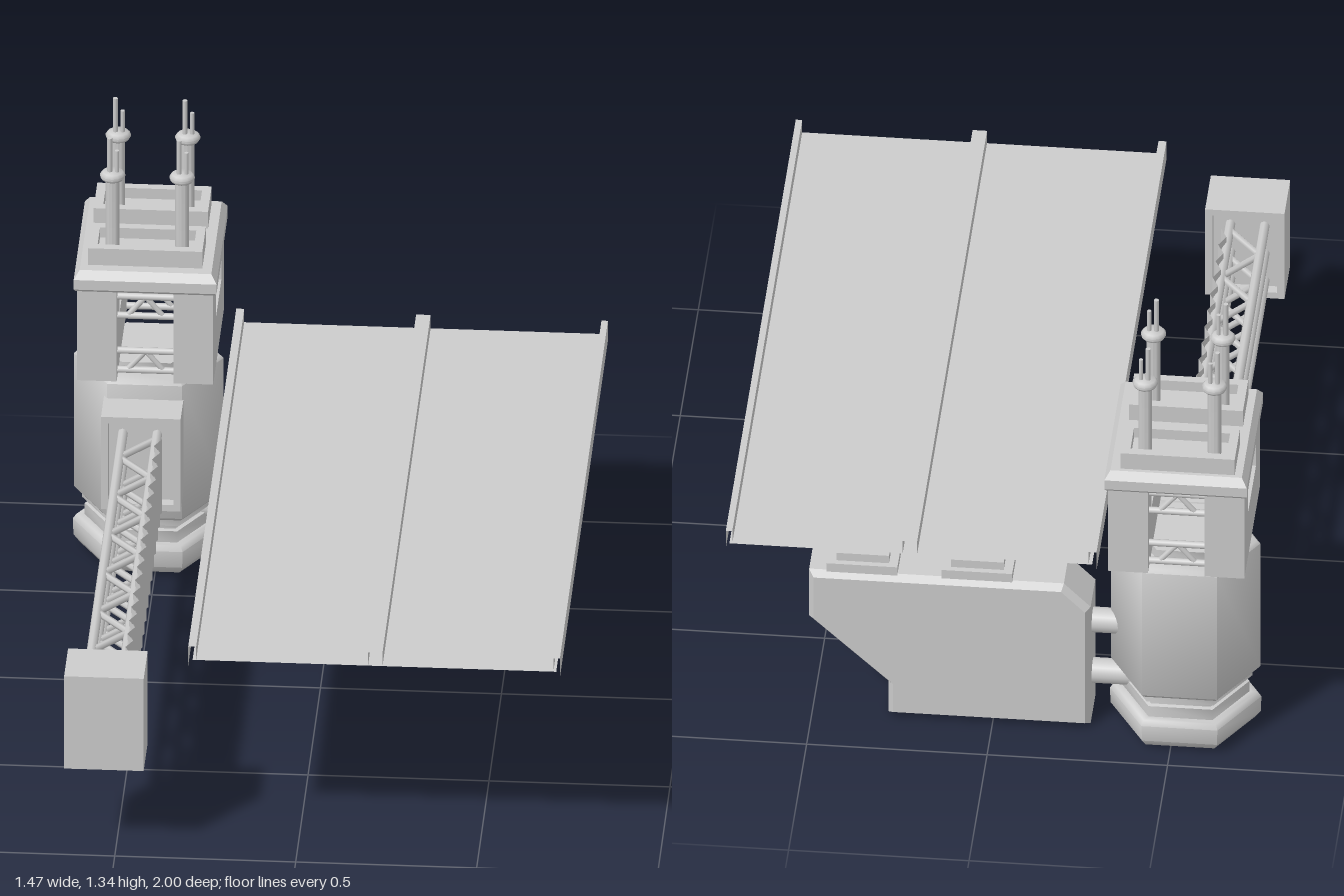
import * as THREE from 'three';
import { toCreasedNormals } from 'three/addons/utils/BufferGeometryUtils.js';

const V = (x, y, z) => new THREE.Vector3(x, y, z);

export function createModel() {
  const model = new THREE.Group();
  const solid = new THREE.MeshStandardMaterial({ color: 0xcccccc });
  const thin = new THREE.MeshStandardMaterial({ color: 0xcccccc, side: THREE.DoubleSide, flatShading: true });

  const group = (name, parent = model) => {
    const g = new THREE.Group();
    g.name = name;
    parent.add(g);
    return g;
  };
  const add = (parent, name, geo, x = 0, y = 0, z = 0, mat = solid) => {
    const m = new THREE.Mesh(geo, mat);
    m.name = name;
    m.position.set(x, y, z);
    parent.add(m);
    return m;
  };
  // Box given by its limits on each axis
  const box = (parent, name, x0, x1, y0, y1, z0, z1) =>
    add(parent, name, new THREE.BoxGeometry(x1 - x0, y1 - y0, z1 - z0), (x0 + x1) / 2, (y0 + y1) / 2, (z0 + z1) / 2);
  // Round bar between two points
  const rod = (parent, name, a, b, r, sides = 8) => {
    const m = add(parent, name, new THREE.CylinderGeometry(r, r, a.distanceTo(b), sides));
    m.position.copy(a).add(b).multiplyScalar(0.5);
    m.quaternion.setFromUnitVectors(V(0, 1, 0), b.clone().sub(a).normalize());
    return m;
  };
  const lathe = (pts, sides) =>
    toCreasedNormals(new THREE.LatheGeometry(pts.map(p => new THREE.Vector2(...p)), sides), sides === 6 ? 1.1 : 0.9);
  const shapeOf = pts => new THREE.Shape(pts.map(p => new THREE.Vector2(...p)));
  // Rectangular frame centred on the origin, extruded along z
  const frame = (w, h, rim, depth) => {
    const rect = (a, b) => [[-a, -b], [a, -b], [a, b], [-a, b]];
    const s = shapeOf(rect(w / 2, h / 2));
    s.holes.push(new THREE.Path(rect(w / 2 - rim, h / 2 - rim).reverse().map(p => new THREE.Vector2(...p))));
    return new THREE.ExtrudeGeometry(s, { depth, bevelEnabled: false });
  };
  // Open strip swept between two ends of a profile
  const ribbon = (profile, place, t0, t1) => {
    const n = profile.length;
    const geo = new THREE.PlaneGeometry(1, 1, n - 1, 1);
    for (let i = 0; i < n; i++) {
      geo.attributes.position.setXYZ(i, ...place(profile[i], t0));
      geo.attributes.position.setXYZ(n + i, ...place(profile[i], t1));
    }
    const flat = geo.toNonIndexed();
    flat.computeVertexNormals();
    return flat;
  };

  // Landing deck with three raised rails
  const deck = group('deck');
  const alongZ = (p, t) => [p[0], p[1], t];
  const strip = (name, profile) => add(deck, name, ribbon(profile, alongZ, -0.94, 1), 0, 0, 0, thin);
  strip('deckPlate', [[-0.285, 0.625], [0.72, 0.625]]);
  strip('middleRail', [[0.2, 0.625], [0.2, 0.667], [0.24, 0.667], [0.24, 0.625]]);
  strip('rightRail', [[-0.297, 0.605], [-0.297, 0.667], [-0.275, 0.667], [-0.275, 0.625]]);
  strip('leftRail', [[0.73, 0.605], [0.73, 0.667], [0.712, 0.667], [0.712, 0.625]]);

  // Six-sided tower body with its foot and grooves
  const CX = -0.527, CZ = -0.768;
  const tower = group('tower');
  const body = add(tower, 'towerBody', lathe([
    [0, 0], [0.155, 0], [0.19, 0.012], [0.208, 0.035], [0.21, 0.085], [0.2, 0.1], [0.177, 0.1], [0.177, 0.135],
    [0.165, 0.138], [0.165, 0.152], [0.185, 0.155], [0.185, 0.18], [0.2, 0.18], [0.207, 0.188], [0.207, 0.605],
    [0.197, 0.615], [0.138, 0.615], [0.138, 0.645], [0, 0.645]], 6), CX, 0, CZ);
  body.geometry.rotateY(Math.PI / 6);
  body.scale.z = 0.95;

  // Tower head: two notched side walls with lattices between them
  const head = group('towerHead');
  const wall = new THREE.ExtrudeGeometry(shapeOf([
    [-0.985, 0.64], [-0.55, 0.64], [-0.55, 0.925], [-0.66, 0.925], [-0.66, 0.79],
    [-0.88, 0.79], [-0.88, 0.925], [-0.985, 0.925]]), { depth: 0.11, bevelEnabled: false }).rotateY(-Math.PI / 2);
  add(head, 'rightWall', wall, -0.601);
  add(head, 'leftWall', wall, -0.334);
  for (const z of [-0.585, -0.95]) {
    for (const y of [0.66, 0.83]) {
      const top = y + 0.06;
      for (const h of [y, top]) rod(head, 'latticeBar', V(-0.61, h, z), V(-0.435, h, z), 0.01);
      for (const s of [-1, 1]) rod(head, 'latticeBrace', V(-0.523 + s * 0.05, y, z), V(-0.523, top, z), 0.008);
    }
  }

  // Roof cap with chamfered edge, carrying two shallow trays
  const roof = [[1.38, 0.92], [1.41, 0.927], [1.41, 0.957], [1.3, 0.98]].map(([r, y]) => [r / 2, y]);
  const cap = add(head, 'roofCap', toCreasedNormals(new THREE.LatheGeometry(
    [[0, 0.92], ...roof, [0, 0.98]].map(p => new THREE.Vector2(...p)), 4).rotateY(Math.PI / 4), 0.3), -0.522, 0, -0.772);
  cap.scale.set(0.396, 1, 0.455);
  const antenna = lathe([[0, 0.98], [0.019, 0.98], [0.019, 1.212], [0.03, 1.214], [0.035, 1.222],
    [0.035, 1.228], [0.028, 1.236], [0, 1.236]], 12);
  for (const z of [-0.667, -0.897]) {
    add(head, 'trayRim', frame(0.316, 0.147, 0.025, 0.055).rotateX(-Math.PI / 2), -0.525, 0.977, z);
    box(head, 'trayFloor', -0.66, -0.39, 0.975, 1.0, z - 0.05, z + 0.05);
    for (const x of [-0.62, -0.428]) {
      const mast = group('antenna', head);
      add(mast, 'mast', antenna, x, 0, z);
      rod(mast, 'longAerial', V(x - 0.008, 1.23, z), V(x - 0.008, 1.34, z), 0.007);
      rod(mast, 'shortAerial', V(x + 0.012, 1.23, z), V(x + 0.012, 1.302, z), 0.006);
    }
  }

  // Boom: rails on three levels with zigzag braces, ending in hollow blocks
  const boom = group('boom');
  const X0 = -0.582, X1 = -0.487, Z0 = -0.52, Z1 = 0.87, STEPS = 12;
  for (const y of [0.31, 0.402, 0.495]) {
    for (const x of [X0, X1]) rod(boom, 'boomRail', V(x, y, Z0), V(x, y, Z1), 0.014);
    for (let i = 0; i < STEPS; i++) {
      const at = k => V(k % 2 ? X0 : X1, y, -0.49 + 1.33 * k / STEPS);
      rod(boom, 'boomBrace', at(i), at(i + 1), 0.01, 6);
    }
  }
  const block = (name, zOpen, zBack, dir) => {
    const g = group(name, boom);
    add(g, 'blockRim', frame(0.22, 0.29, 0.02, 0.03), -0.53, 0.415, dir > 0 ? zOpen : zOpen - 0.03);
    const inner = zOpen + dir * 0.03;
    box(g, 'blockBody', -0.64, -0.42, 0.27, 0.56, Math.min(inner, zBack), Math.max(inner, zBack));
  };
  block('endBlock', 0.84, 1, 1);
  block('rootBlock', -0.49, -0.635, -1);

  // Pleated panel on the boom's left side
  const pleats = Array.from({ length: 33 }, (_, i) => [i % 2 ? -0.487 : -0.468, -0.432 + 1.232 * i / 32]);
  add(boom, 'pleatedPanel', ribbon(pleats, (p, t) => [p[0], t, p[1]], 0.295, 0.527), 0, 0, 0, thin);

  // Pylon under the deck, chamfered around both faces
  const pylon = group('pylon');
  const b = 0.014;
  add(pylon, 'pylonBody', new THREE.ExtrudeGeometry(shapeOf([
    [-0.27 + b, 0.005 + b], [0.29 - b, 0.005 + b], [0.29 - b, 0.115], [0.51 - b, 0.322], [0.51 - b, 0.475 - b],
    [-0.19, 0.475 - b], [-0.27 + b, 0.395]]),
  { depth: 0.13, bevelThickness: 0.022, bevelSize: b, bevelSegments: 1 }), 0, 0, CZ - 0.065 + 0.003);

  // Stepped mounts with posts below the deck
  const post = lathe([[0, 0.52], [0.026, 0.52], [0.026, 0.538], [0.02, 0.543], [0.031, 0.55], [0.031, 0.578],
    [0.02, 0.584], [0.02, 0.59], [0.031, 0.592], [0.031, 0.61], [0, 0.61]], 12);
  for (const x of [0.045, 0.363]) {
    const mount = group('deckMount', pylon);
    box(mount, 'lowerStep', x - 0.098, x + 0.098, 0.47, 0.5, -0.835, -0.695);
    box(mount, 'upperStep', x - 0.073, x + 0.073, 0.5, 0.525, -0.818, -0.712);
    add(mount, 'post', post, x, 0, -0.765);
  }

  // Pipes joining tower and pylon
  for (const [y, x] of [[0.315, -0.36], [0.143, -0.42]]) rod(pylon, 'pipe', V(x, y, -0.77), V(-0.26, y, -0.77), 0.036, 16);

  return model;
}
